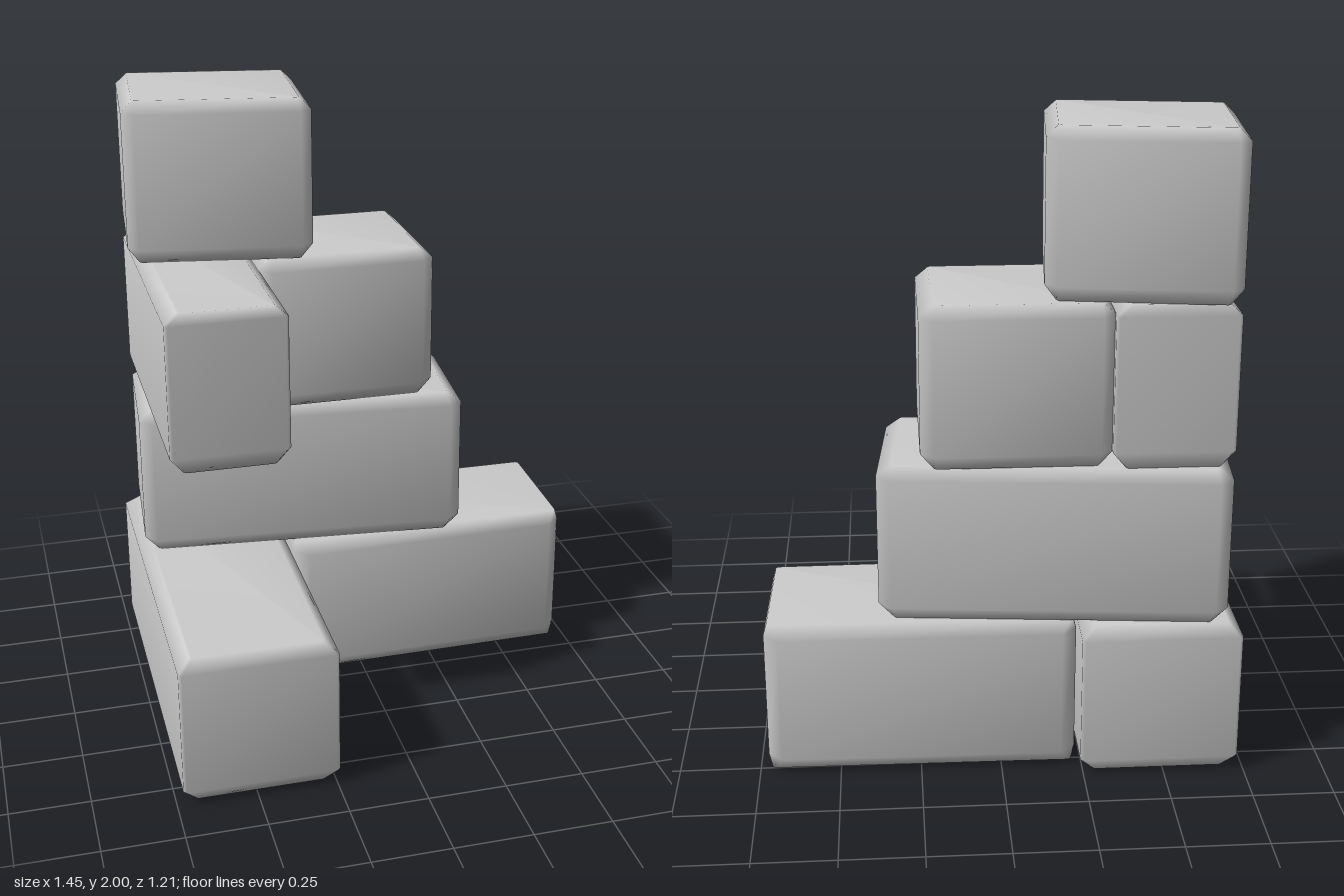
import * as THREE from 'three';

// One octagonal ring of a block: the plan's four corners, pulled in by
// insetX / insetZ and with each corner cut off.
function ring(plan, y, insetX, insetZ, cut) {
  const pts = plan.map(([x, z]) => new THREE.Vector3(x, y, z));
  return pts.flatMap((p, k) => {
    const toPrev = pts[(k + 3) % 4].clone().sub(p).normalize();
    const toNext = pts[(k + 1) % 4].clone().sub(p).normalize();
    const nextIsX = k % 2 === 0;
    const base = p.clone()
      .addScaledVector(toNext, nextIsX ? insetX : insetZ)
      .addScaledVector(toPrev, nextIsX ? insetZ : insetX);
    return [base.clone().addScaledVector(toPrev, cut), base.clone().addScaledVector(toNext, cut)];
  });
}

// Bevelled block lofted through four rings, with softly shared normals.
// Plan corners run: back right, back left, front left, front right.
function block(name, plan, y0, y1, bevelX, bevelZ, cut) {
  const rings = [
    ring(plan, y0, bevelX, bevelZ, 0.008),
    ring(plan, y0 + 0.05, 0, 0, cut),
    ring(plan, y1 - 0.035, 0, 0, cut),
    ring(plan, y1, bevelX, bevelZ, 0.008),
  ];
  const index = [];
  for (let r = 0; r < 3; r++) {
    for (let k = 0; k < 8; k++) {
      const i = r * 8 + k, j = r * 8 + ((k + 1) % 8);
      index.push(j, i, i + 8, j, i + 8, j + 8);
    }
  }
  for (let k = 1; k < 7; k++) {
    index.push(0, k, k + 1);
    index.push(24, 24 + k + 1, 24 + k);
  }
  const geometry = new THREE.BufferGeometry().setFromPoints(rings.flat());
  geometry.setIndex(index);
  geometry.computeVertexNormals();
  const mesh = new THREE.Mesh(geometry, new THREE.MeshStandardMaterial({ color: 0xcccccc }));
  mesh.name = name;
  return mesh;
}

const rect = (x0, x1, z0, z1) => [[x0, z0], [x1, z0], [x1, z1], [x0, z1]];

export function createModel() {
  const model = new THREE.Group();
  model.name = 'stackedBlocks';
  model.add(
    // bottom layer: two long blocks forming an L
    block('baseBlockForward', rect(-0.73, -0.24, -0.605, 0.605), 0, 0.495, 0.04, 0.035, 0.01),
    block('baseBlockSideways', [[-0.23, -0.55], [0.725, -0.54], [0.715, -0.045], [-0.23, -0.035]],
      0, 0.495, 0.01, 0.04, 0.045),
    // second layer: one long, slightly skewed block
    block('middleBlock', [[-0.68, -0.605], [0.375, -0.505], [0.335, -0.01], [-0.72, -0.11]],
      0.495, 0.995, 0.045, 0.04, 0.04),
    // third layer: a forward arm and a short block beside it
    block('upperBlockForward', rect(-0.69, -0.325, -0.55, 0.365), 0.995, 1.495, 0.04, 0.012, 0.01),
    block('upperBlockSideways', rect(-0.33, 0.24, -0.55, -0.035), 0.995, 1.495, 0.04, 0.04, 0.04),
    // top cube, turned a little
    block('topBlock', [[-0.68, -0.605], [-0.12, -0.515], [-0.16, -0.015], [-0.725, -0.105]],
      1.495, 2, 0.035, 0.04, 0.035),
  );
  return model;
}
